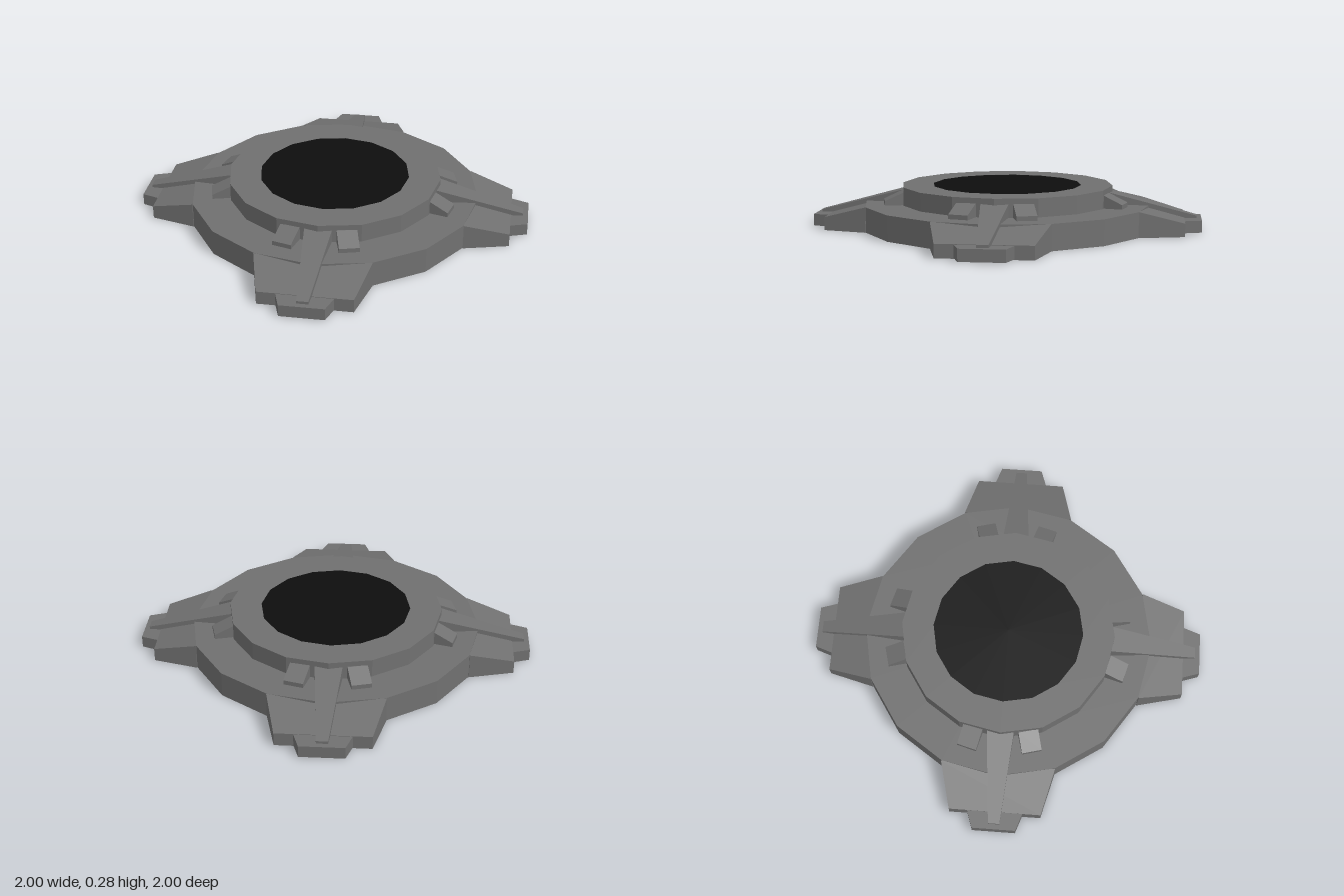
import * as THREE from 'three';

const hull = new THREE.MeshStandardMaterial({ color: 0x707070, flatShading: true, side: THREE.DoubleSide });
hull.name = 'hull grey';
const dark = new THREE.MeshStandardMaterial({ color: 0x0e0e0e, flatShading: true, side: THREE.DoubleSide });
dark.name = 'opening black';

const SIDES = 16;

// Open-bottomed block running along +z; each section is [distance, halfWidth, bottom, top]
function block(name, sections) {
  const pos = [];
  const corners = sections.map(([z, w, y0, y1]) => [[-w, y0, z], [-w, y1, z], [w, y1, z], [w, y0, z]]);
  const quad = (a, b, c, d) => pos.push(...a, ...b, ...c, ...a, ...c, ...d);
  for (let i = 0; i < corners.length - 1; i++) {
    const a = corners[i], b = corners[i + 1];
    for (let k = 0; k < 3; k++) quad(a[k], b[k], b[k + 1], a[k + 1]);
  }
  const first = corners[0], last = corners[corners.length - 1];
  quad(first[0], first[1], first[2], first[3]);
  quad(last[0], last[3], last[2], last[1]);
  const g = new THREE.BufferGeometry();
  g.setAttribute('position', new THREE.Float32BufferAttribute(pos, 3));
  g.computeVertexNormals();
  const mesh = new THREE.Mesh(g, hull);
  mesh.name = name;
  return mesh;
}

// Flat polygonal disc, facing up or down
function disc(name, radius, y, up) {
  const mesh = new THREE.Mesh(new THREE.CircleGeometry(radius, SIDES), dark);
  mesh.rotation.x = up ? -Math.PI / 2 : Math.PI / 2;
  mesh.position.y = y;
  mesh.name = name;
  return mesh;
}

export function createModel() {
  const model = new THREE.Group();
  model.name = 'steppedRingBase';

  // Two-step ring shell, hollow underneath
  const profile = [[0.917, 0], [0.917, 0.16], [0.675, 0.16], [0.675, 0.275], [0.475, 0.275]]
    .map(([r, y]) => new THREE.Vector2(r, y));
  const ring = new THREE.Mesh(new THREE.LatheGeometry(profile, SIDES), hull);
  ring.name = 'steppedRing';
  model.add(ring);

  // Black opening on top and its closed underside
  model.add(disc('topOpening', 0.475, 0.274, true));
  model.add(disc('undersideOpening', 0.675, 0.16, false));

  // Four diagonal feet, each with a ridge and two small wedges
  for (let i = 0; i < 4; i++) {
    const arm = new THREE.Group();
    arm.name = 'foot' + (i + 1);
    arm.rotation.y = Math.PI / 4 + i * Math.PI / 2;

    arm.add(block('footPlate', [[0.85, 0.354, 0, 0.16], [1.13, 0.284, 0, 0.083]]));
    arm.add(block('footToe', [[1.125, 0.172, 0.004, 0.08], [1.237, 0.134, 0.004, 0.078]]));
    arm.add(block('ridge', [[0.64, 0.085, 0.15, 0.245], [1.205, 0.035, 0.07, 0.095]]));

    for (const side of [-1, 1]) {
      const wedge = block('wedge', [[0.63, 0.062, 0.155, 0.242], [0.665, 0.062, 0.155, 0.242], [0.785, 0.062, 0.155, 0.188]]);
      wedge.rotation.y = side * Math.PI / 12;
      arm.add(wedge);
    }
    model.add(arm);
  }
  return model;
}
